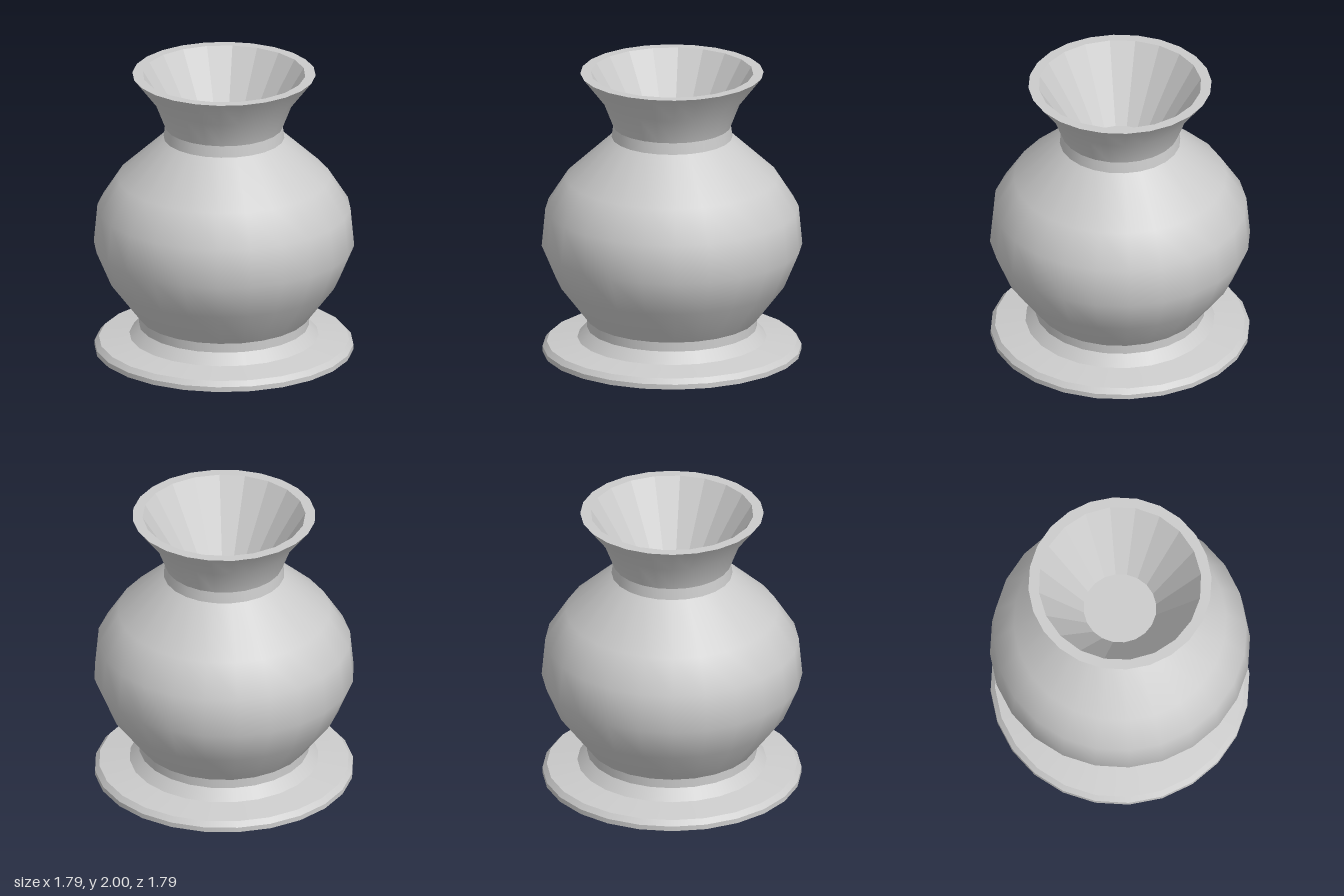
import * as THREE from 'three';

const SIDES = 24, BORE_SIDES = 20;

export function createModel() {
  const vase = new THREE.Group();
  vase.name = 'vase';
  const smooth = new THREE.MeshStandardMaterial({ color: 0xcccccc });
  const faceted = new THREE.MeshStandardMaterial({ color: 0xcccccc, flatShading: true });

  const add = (name, geometry, material = smooth) => {
    const mesh = new THREE.Mesh(geometry, material);
    mesh.name = name;
    vase.add(mesh);
    return mesh;
  };
  // Each turned band is smooth around, with a sharp edge where it meets the next.
  const turn = (name, points, sides = SIDES, material = smooth) =>
    add(name, new THREE.LatheGeometry(points.map(p => new THREE.Vector2(...p)), sides), material);
  const polygon = (r, n) => Array.from({ length: n }, (_, i) => {
    const a = i / n * Math.PI * 2;
    return new THREE.Vector2(r * Math.cos(a), r * Math.sin(a));
  });

  // Foot
  turn('footUnderside', [[0, 0], [0.89, 0]]);
  turn('footEdge', [[0.89, 0], [0.89, 0.035]]);
  turn('footBevel', [[0.89, 0.035], [0.86, 0.07]]);
  turn('footTop', [[0.86, 0.07], [0.65, 0.1]]);
  turn('footSlope', [[0.65, 0.1], [0.585, 0.175]]);
  turn('footCollar', [[0.585, 0.175], [0.585, 0.24]]);

  // Rounded belly
  turn('belly', [[0.585, 0.24], [0.79, 0.51], [0.895, 0.76], [0.87, 1.03], [0.73, 1.25], [0.415, 1.54]]);

  // Neck and flared mouth
  turn('neckBand', [[0.415, 1.54], [0.405, 1.62]]);
  turn('flare', [[0.405, 1.62], [0.475, 1.8], [0.63, 2]]);

  // Flat rim between the outer flare and the bore
  const ring = new THREE.Shape(polygon(0.63, SIDES));
  ring.holes.push(new THREE.Path(polygon(0.56, BORE_SIDES)));
  add('rim', new THREE.ShapeGeometry(ring).rotateX(-Math.PI / 2).translate(0, 2, 0));

  // Faceted conical bore with a flat floor
  turn('bore', [[0.56, 2], [0.25, 1.5]], BORE_SIDES, faceted);
  turn('boreFloor', [[0.25, 1.5], [0, 1.5]], BORE_SIDES);

  return vase;
}
